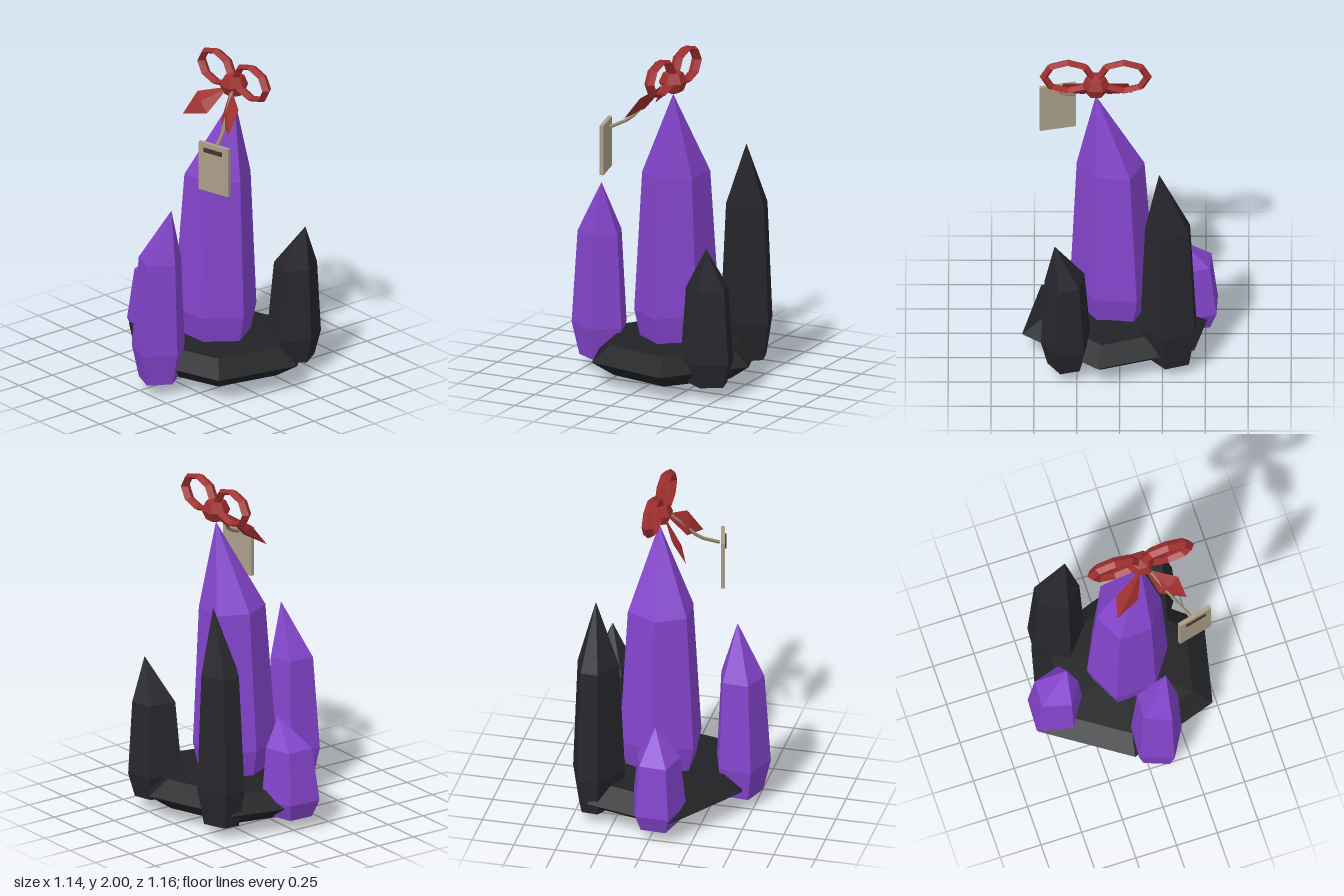
import * as THREE from 'three';
import { ConvexGeometry } from 'three/addons/geometries/ConvexGeometry.js';

const mat = (color) => new THREE.MeshStandardMaterial({ color, flatShading: true });
const purple = mat(0x8444cc), black = mat(0x26262c), rock = mat(0x212225);
const red = mat(0x9e2e2e), paper = mat(0xaa9f88), twine = mat(0x968a6c), brown = mat(0x4a2f28);

// Stacks scaled copies of an outline of [x, z] corners; a level is [y, scale, dx, dz], scale 0 is a point.
function loft(corners, levels) {
  const n = corners.length;
  const cx = corners.reduce((s, c) => s + c[0], 0) / n;
  const cz = corners.reduce((s, c) => s + c[1], 0) / n;
  const pos = [], index = [];
  for (const [y, s, dx = 0, dz = 0] of levels) {
    for (const [x, z] of corners) pos.push(cx + dx + (x - cx) * s, y, cz + dz + (z - cz) * s);
  }
  for (let l = 0; l < levels.length - 1; l++) {
    for (let i = 0; i < n; i++) {
      const j = (i + 1) % n, a = l * n + i, b = l * n + j, c = a + n, d = b + n;
      if (levels[l][1] > 0) index.push(a, c, b);
      if (levels[l + 1][1] > 0) index.push(b, c, d);
    }
  }
  const g = new THREE.BufferGeometry();
  g.setAttribute('position', new THREE.Float32BufferAttribute(pos, 3));
  g.setIndex(index);
  const flat = g.toNonIndexed();
  flat.computeVertexNormals();
  return flat;
}

// Crystal: tapered foot, widest ring, narrower shoulder and an off-centre tip.
function crystal(corners, wideY, shoulderY, tip, foot = 0.74) {
  const n = corners.length;
  const dx = tip[0] - corners.reduce((s, c) => s + c[0], 0) / n;
  const dz = tip[2] - corners.reduce((s, c) => s + c[1], 0) / n;
  return loft(corners, [
    [0.075, 0], [0.075, foot], [wideY, 1],
    [shoulderY, 0.8, dx * 0.12, dz * 0.12], [tip[1], 0, dx, dz],
  ]);
}

export function createModel() {
  const model = new THREE.Group();
  const add = (name, geometry, material, parent = model) => {
    const m = new THREE.Mesh(geometry, material);
    m.name = name;
    parent.add(m);
    return m;
  };

  // Rock base
  add('rockBase', loft(
    [[0.57, -0.225], [0.46, 0.275], [-0.075, 0.455], [-0.56, 0.13], [-0.435, -0.39], [0.13, -0.585]],
    [[0, 0], [0.055, 0.74], [0.15, 1], [0.24, 0.78], [0.265, 0]]), rock);

  // Crystals
  add('mainCrystal', crystal(
    [[0.29, -0.046], [0.151, 0.155], [-0.096, 0.167], [-0.204, -0.053], [-0.099, -0.275], [0.151, -0.253]],
    0.41, 1.25, [0.14, 1.75, -0.095], 0.7), purple);
  add('frontCrystal', crystal(
    [[0.229, 0.402], [0.127, 0.578], [-0.068, 0.504], [-0.053, 0.31], [0.117, 0.257]],
    0.27, 0.83, [0.14, 1.15, 0.375]), purple);
  add('rightCrystal', crystal(
    [[-0.257, 0.03], [-0.362, 0.19], [-0.572, 0.133], [-0.563, -0.068], [-0.362, -0.13]],
    0.18, 0.495, [-0.345, 0.665, 0]), purple);
  add('backRightCrystal', crystal(
    [[-0.12, -0.36], [-0.253, -0.204], [-0.448, -0.318], [-0.439, -0.448], [-0.253, -0.516]],
    0.3, 1.0, [-0.23, 1.39, -0.385]), black);
  add('backLeftCrystal', crystal(
    [[0.46, -0.414], [0.359, -0.257], [0.17, -0.318], [0.207, -0.525], [0.359, -0.569]],
    0.22, 0.66, [0.38, 0.915, -0.435]), black);

  // Bow on the main tip
  const bow = new THREE.Group();
  bow.name = 'bow';
  bow.position.set(0.14, 1.825, -0.095);
  model.add(bow);
  add('knot', new THREE.SphereGeometry(0.078, 6, 4), red, bow).scale.set(1.05, 1, 1.08);
  for (const [side, s] of [['left', 1], ['right', -1]]) {
    const loop = add(side + 'Loop', new THREE.TorusGeometry(0.14, 0.025, 4, 8), red, bow);
    loop.position.set(s * 0.163, 0.06, 0);
    loop.scale.set(1, 0.7, 1.3);

    // Folded ribbon tail: flat diamond running forward and down
    const start = new THREE.Vector3(s * 0.01, -0.01, 0.03);
    const tip = new THREE.Vector3(s * 0.213, -0.198, 0.212);
    const mid = start.clone().lerp(tip, 0.58);
    const across = new THREE.Vector3(s * 0.062, 0.048, -0.015);
    const thick = tip.clone().sub(start).cross(across).setLength(0.02);
    add(side + 'Tail', new ConvexGeometry([
      start, tip, mid.clone().add(across), mid.clone().sub(across),
      mid.clone().add(thick), mid.clone().sub(thick),
    ]), red, bow);
  }

  // String, in straight segments
  const path = new THREE.CurvePath();
  const p = [[0.17, 1.82, -0.06], [0.285, 1.61, 0.11], [0.345, 1.56, 0.215]]
    .map((v) => new THREE.Vector3(...v));
  path.add(new THREE.LineCurve3(p[0], p[1]));
  path.add(new THREE.LineCurve3(p[1], p[2]));
  add('string', new THREE.TubeGeometry(path, 8, 0.011, 5), twine);

  // Hanging tag with a dark bar
  const tag = new THREE.Group();
  tag.name = 'tag';
  tag.position.set(0.363, 1.45, 0.232);
  tag.rotation.y = 0.24;
  model.add(tag);
  add('tagCard', new THREE.BoxGeometry(0.215, 0.3, 0.024), paper, tag);
  add('tagBar', new THREE.BoxGeometry(0.132, 0.025, 0.012), brown, tag).position.set(0, 0.108, 0.014);

  return model;
}
